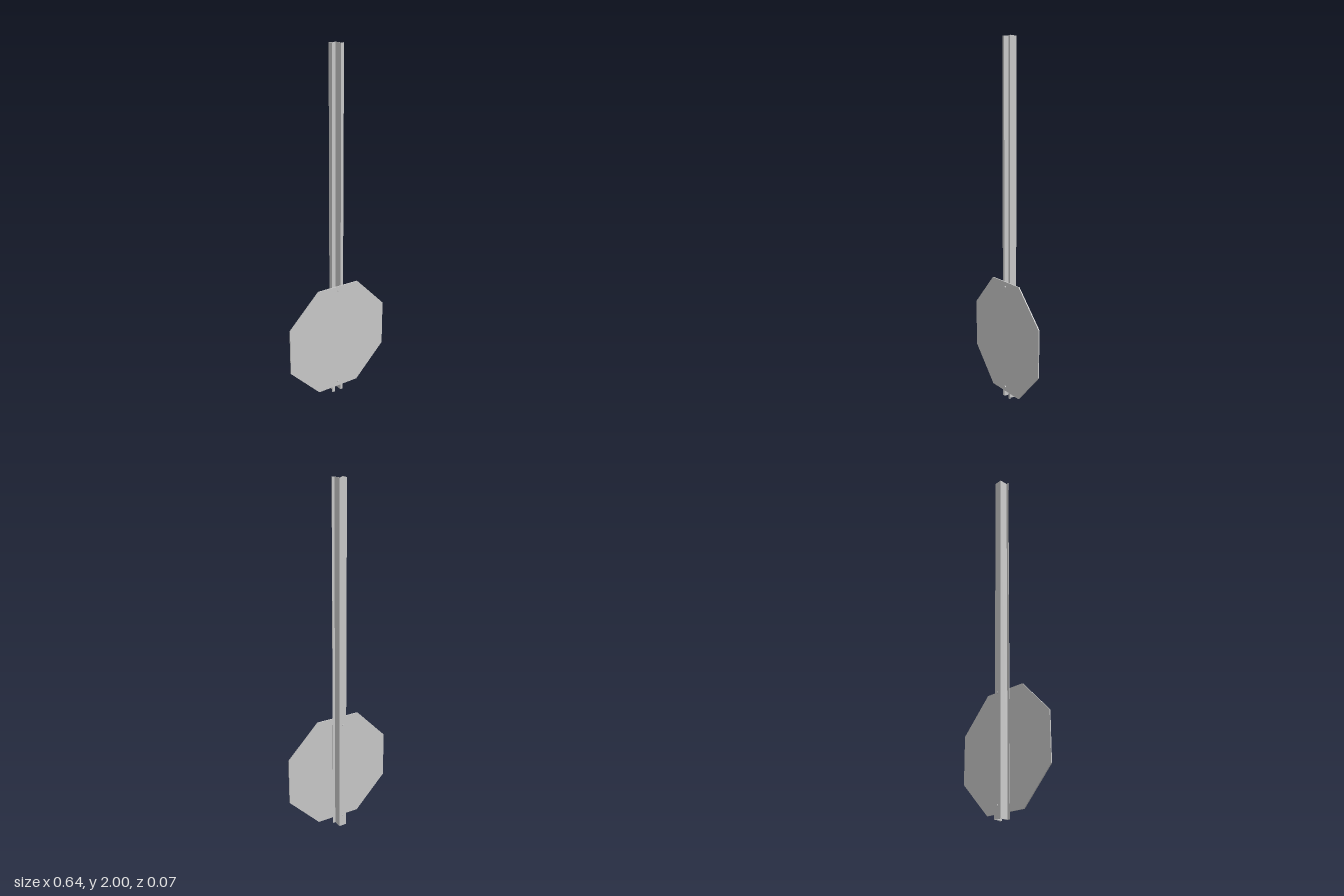
import * as THREE from 'three';

export function createModel() {
  const group = new THREE.Group();
  const material = new THREE.MeshStandardMaterial({ color: 0xcccccc });

  const add = (name, geometry) => {
    const mesh = new THREE.Mesh(geometry, material);
    mesh.name = name;
    group.add(mesh);
    return mesh;
  };
  const polygon = (points) => new THREE.Shape(points.map(([x, y]) => new THREE.Vector2(x, y)));

  // Sheet-metal hat channel, open to the front: half outline, then mirrored
  const t = 0.002, web = 0.022, flange = 0.037, back = -0.031, front = 0.0195;
  const half = [
    [web, back], [web, front - t], [flange, front - t],
    [flange, front], [web - t, front], [web - t, back + t],
  ];
  const outline = [...half, ...half.map(([x, z]) => [-x, z]).reverse()];
  const post = new THREE.ExtrudeGeometry(polygon(outline.map(([x, z]) => [x, -z])), {
    depth: 2, bevelEnabled: false,
  });
  post.rotateX(-Math.PI / 2);
  add('post', post);

  // Octagonal sign plate against the flanges
  const r = 0.32, c = 0.1325;
  const octagon = polygon([[r, -c], [r, c], [c, r], [-c, r], [-r, c], [-r, -c], [-c, -r], [c, -r]]);
  const plate = new THREE.ExtrudeGeometry(octagon, { depth: 0.006, bevelEnabled: false });
  add('signPlate', plate).position.set(0, 0.358, 0.02);

  // Bolts passing through plate and post
  for (const [name, y] of [['upperBolt', 0.65], ['lowerBolt', 0.065]]) {
    const bolt = new THREE.CylinderGeometry(0.005, 0.005, 0.067, 12);
    bolt.rotateX(Math.PI / 2);
    add(name, bolt).position.set(0, y, -0.0015);
  }

  return group;
}
